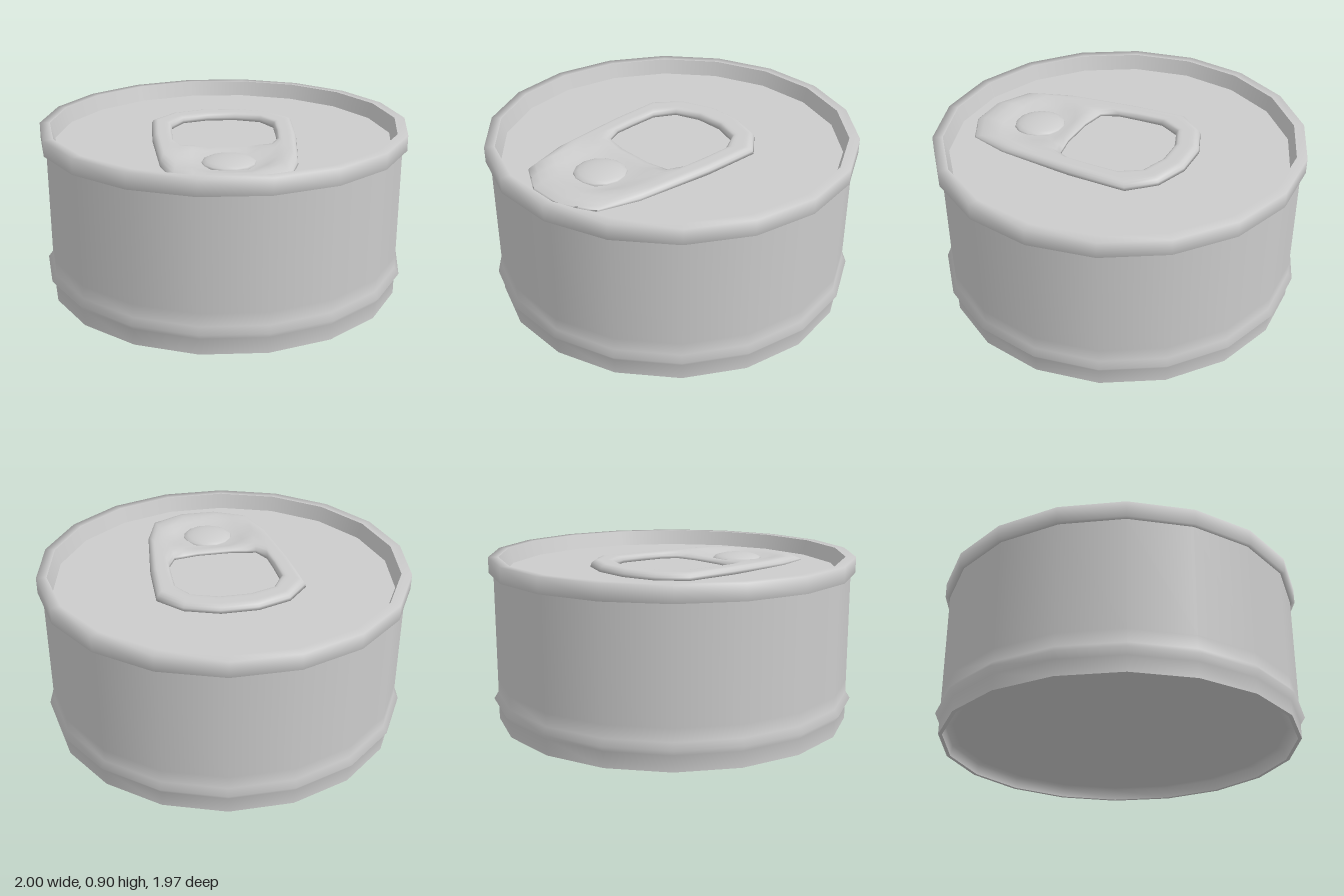
import * as THREE from 'three';

const SIDES = 18;
const LID_Y = 0.82;
const metal = new THREE.MeshStandardMaterial({ color: 0xcccccc });

function part(name, geometry) {
  const mesh = new THREE.Mesh(geometry, metal);
  mesh.name = name;
  return mesh;
}

// Turned part; a corner of the polygon lies on the x axis
function turned(name, profile) {
  const points = profile.map(([r, y]) => new THREE.Vector2(r, y));
  return part(name, new THREE.LatheGeometry(points, SIDES, Math.PI / SIDES));
}

// Right half of an outline, mirrored into a closed loop
function mirrored(half) {
  return [...half, ...half.map(([x, z]) => [-x, z]).reverse()];
}

// Pull tab: rows lofted from the outer outline to the finger hole, closed underneath
function pullTabGeometry() {
  const outer = mirrored([[0.1, -0.42], [0.28, -0.355], [0.4, -0.22], [0.39, 0.1], [0.345, 0.54], [0.28, 0.76], [0.19, 0.81], [0.1, 0.86]]);
  const hole = mirrored([[0.08, -0.285], [0.22, -0.235], [0.285, -0.12], [0.283, 0.03], [0.278, 0.15], [0.235, 0.24], [0.18, 0.25], [0.1, 0.265]]);
  // [fraction from outline to hole, height above the tilted mid plane]
  const rows = [[0, -0.016], [0.03, 0], [0.1, 0.012], [0.2, 0.02], [0.3, 0.022], [0.42, 0.022], [0.54, 0.022],
    [0.66, 0.022], [0.78, 0.022], [0.88, 0.02], [0.95, 0.014], [1, 0], [1, -0.016]];
  const n = outer.length;
  const positions = [];
  const index = [];
  rows.forEach(([t, h], i) => {
    for (let j = 0; j < n; j++) {
      const x = THREE.MathUtils.lerp(outer[j][0], hole[j][0], t);
      const z = THREE.MathUtils.lerp(outer[j][1], hole[j][1], t);
      // pressed hollow around the rivet
      const hollow = 0.029 * (1 - THREE.MathUtils.smoothstep(Math.hypot(x, z - 0.5), 0.16, 0.25));
      const tilt = 0.844 - 0.018 * (z + 0.42) / 1.28;
      positions.push(x, tilt + h - hollow, z);
      const k = (j + 1) % n;
      const next = ((i + 1) % rows.length) * n;
      index.push(i * n + j, next + j, i * n + k, i * n + k, next + j, next + k);
    }
  });
  const geometry = new THREE.BufferGeometry();
  geometry.setAttribute('position', new THREE.Float32BufferAttribute(positions, 3));
  geometry.setIndex(index);
  geometry.computeVertexNormals();
  return geometry;
}

export function createModel() {
  const can = new THREE.Group();
  can.name = 'tinCan';

  // Wall with a bead near the foot
  can.add(turned('body', [[0.975, 0], [0.975, 0.085], [1, 0.117], [0.975, 0.15], [0.975, 0.22], [0.975, LID_Y]]));

  // Thin foot and recessed base
  can.add(turned('basePanel', [[0, 0.06], [0.9, 0.06], [0.945, 0.06], [0.955, 0]]));
  can.add(turned('footRing', [[0.955, 0], [0.975, 0]]));

  // Square rim, its sloping inner wall and the sunken lid
  can.add(turned('rim', [[0.975, LID_Y], [1, LID_Y], [1, 0.905], [0.945, 0.905]]));
  can.add(turned('rimWall', [[0.945, 0.905], [0.92, LID_Y]]));
  can.add(turned('lid', [[0.92, LID_Y], [0, LID_Y]]));

  can.add(part('pullTab', pullTabGeometry()));

  // Low domed rivet
  const rivet = part('rivet', new THREE.SphereGeometry(0.142, 14, 5, 0, Math.PI * 2, 0, Math.PI / 2));
  rivet.scale.y = 0.24;
  rivet.position.set(0, 0.822, 0.5);
  can.add(rivet);

  return can;
}
